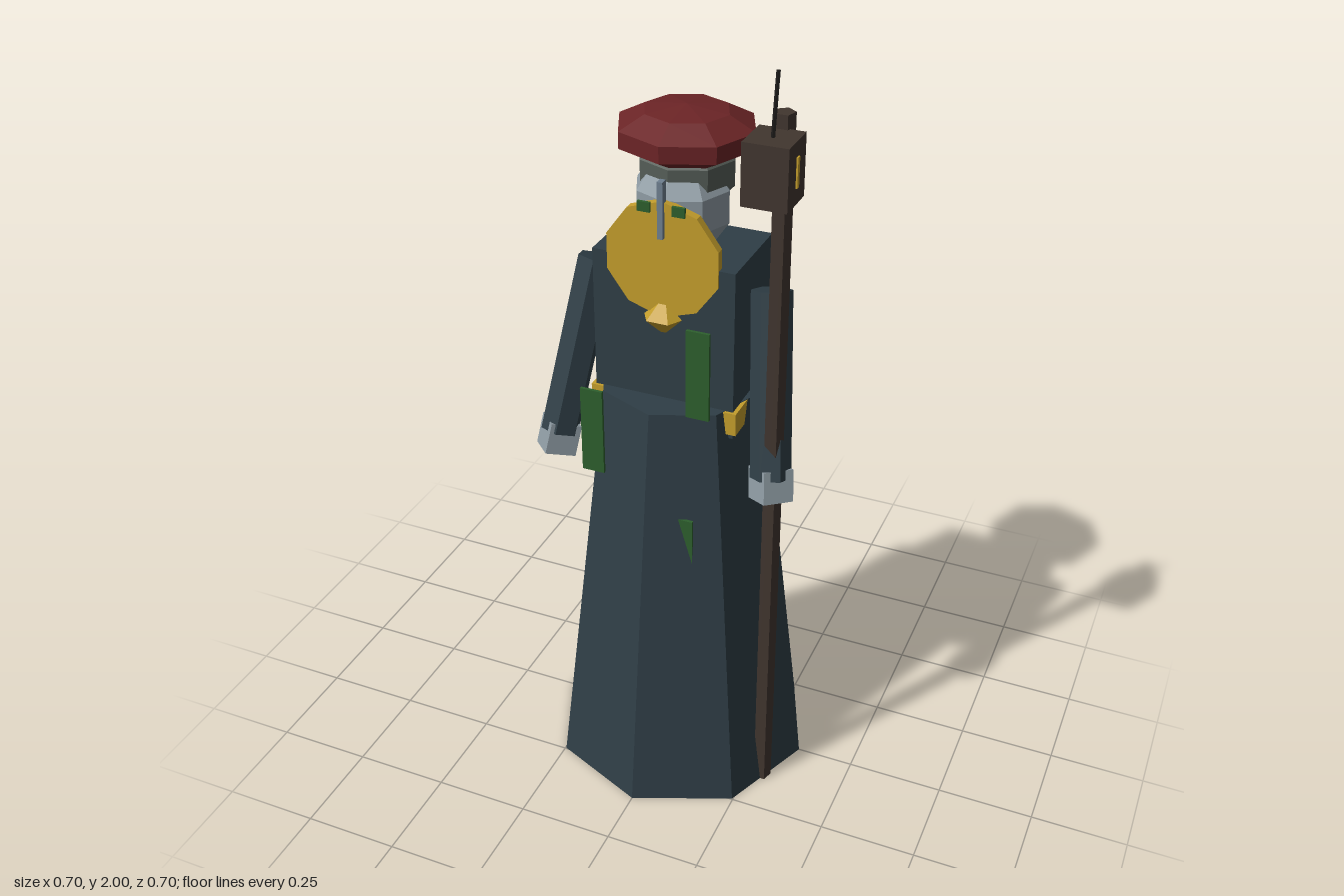
import * as THREE from 'three';

const flat = (name, color) => {
  const m = new THREE.MeshStandardMaterial({ color, flatShading: true });
  m.name = name;
  return m;
};

export function createModel() {
  const model = new THREE.Group();
  model.name = 'lanternKeeper';

  const cloth = flat('slateCloth', 0x2f3e46);
  const red = flat('capRed', 0x6b2426);
  const gold = flat('gold', 0xc49e2c);
  const skin = flat('paleGrey', 0x8f9ca4);
  const hairGrey = flat('hairGrey', 0x555d57);
  const noseGrey = flat('noseGrey', 0x6f8090);
  const green = flat('green', 0x2d5f2d);
  const wood = flat('darkWood', 0x41362f);
  const black = flat('wireBlack', 0x1c1a18);

  const add = (name, geometry, material, x, y, z) => {
    const mesh = new THREE.Mesh(geometry, material);
    mesh.name = name;
    mesh.position.set(x, y, z);
    model.add(mesh);
    return mesh;
  };
  const box = (w, h, d) => new THREE.BoxGeometry(w, h, d);

  // Cylinder running between two points
  const rod = (name, from, to, radius, sides, material) => {
    const dir = to.clone().sub(from);
    const mid = from.clone().add(to).multiplyScalar(0.5);
    const geometry = new THREE.CylinderGeometry(radius, radius, dir.length(), sides);
    const mesh = add(name, geometry, material, mid.x, mid.y, mid.z);
    mesh.quaternion.setFromUnitVectors(new THREE.Vector3(0, 1, 0), dir.normalize());
    return mesh;
  };

  // Robe, torso and belt
  add('robe', new THREE.CylinderGeometry(0.21, 0.35, 1.125, 8), cloth, 0, 0.5625, 0);
  add('torso', box(0.36, 0.44, 0.24), cloth, 0, 1.27, 0);
  add('belt', box(0.38, 0.06, 0.254), gold, 0, 1.094, 0);

  // Arms and hands
  for (const side of [-1, 1]) {
    const shoulder = new THREE.Vector3(side * 0.226, 1.405, 0);
    const wrist = new THREE.Vector3(side * 0.283, 0.97, 0.128);
    const arm = rod(side > 0 ? 'leftArm' : 'rightArm', shoulder, wrist, 0.05, 6, cloth);
    const hand = add(side > 0 ? 'leftHand' : 'rightHand', box(0.08, 0.08, 0.08), skin,
      side * 0.285, 0.955, 0.13);
    hand.quaternion.copy(arm.quaternion);
  }

  // Head, hair and cap
  add('head', new THREE.SphereGeometry(1, 8, 5), skin, 0, 1.595, 0).scale.set(0.122, 0.13, 0.12);
  add('hair', new THREE.SphereGeometry(1, 8, 5), hairGrey, 0, 1.67, -0.025).scale.set(0.125, 0.1, 0.12);
  add('cap', new THREE.SphereGeometry(1, 8, 5), red, 0, 1.755, -0.022).scale.set(0.178, 0.066, 0.17);

  // Round beard with a faceted tip
  const beard = add('beard', new THREE.CylinderGeometry(0.147, 0.147, 0.022, 10), gold, 0, 1.493, 0.114);
  beard.rotation.x = Math.PI / 2;
  add('beardTip', new THREE.SphereGeometry(0.055, 6, 2), gold, 0, 1.345, 0.108);

  // Face details
  add('nose', box(0.014, 0.14, 0.02), noseGrey, 0, 1.62, 0.125);
  for (const side of [-1, 1]) {
    add(side > 0 ? 'leftEye' : 'rightEye', box(0.032, 0.024, 0.008), green, side * 0.043, 1.622, 0.127);
  }

  // Hanging strips in front of the robe
  [[-0.15, 1.045], [0.126, 1.26], [0.085, 0.73]].forEach(([x, y], i) =>
    add('strip' + (i + 1), box(0.058, 0.23, 0.008), green, x, y, 0.209));

  // Staff
  const staff = add('staff', new THREE.CylinderGeometry(0.025, 0.025, 1.895, 5), wood, 0.286, 0.9475, 0.126);
  staff.rotation.y = Math.PI;

  // Lantern with glowing side slits and a wire on top
  add('lantern', box(0.106, 0.145, 0.106), wood, 0.287, 1.79, 0.191);
  for (const side of [-1, 1]) {
    add('lanternSlit', box(0.006, 0.07, 0.012), gold, 0.287 + side * 0.054, 1.792, 0.191);
  }
  rod('wire', new THREE.Vector3(0.286, 1.85, 0.196), new THREE.Vector3(0.286, 2, 0.173), 0.005, 5, black);

  return model;
}
